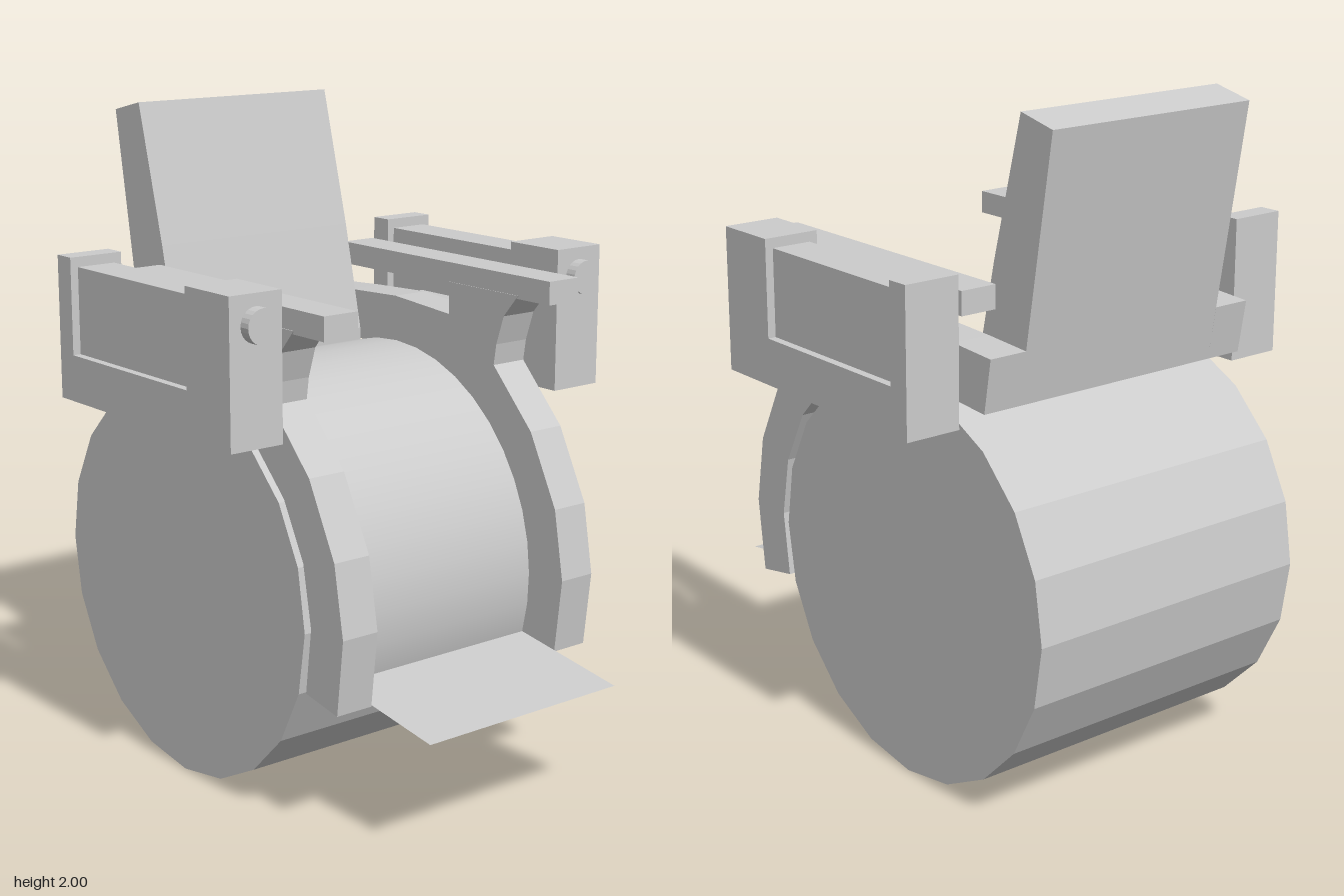
import * as THREE from 'three';

const CX = -0.2, CY = 0.605; // wheel axis
const RAD = Math.PI / 180;

export function createModel() {
  const model = new THREE.Group();
  const flat = new THREE.MeshStandardMaterial({ color: 0xcccccc, flatShading: true });
  const sheet = new THREE.MeshStandardMaterial({ color: 0xcccccc, side: THREE.DoubleSide });

  const add = (name, geometry, material = flat, parent = model) => {
    const mesh = new THREE.Mesh(geometry, material);
    mesh.name = name;
    parent.add(mesh);
    return mesh;
  };
  // box given by its minimum and maximum on each axis
  const box = (name, x0, x1, y0, y1, z0, z1, parent) => {
    const g = new THREE.BoxGeometry(x1 - x0, y1 - y0, z1 - z0);
    g.translate((x0 + x1) / 2, (y0 + y1) / 2, (z0 + z1) / 2);
    return add(name, g, flat, parent);
  };
  // side outline extruded from z0 to z1
  const slab = (name, points, z0, z1, parent) => {
    const shape = new THREE.Shape(points.map(([x, y]) => new THREE.Vector2(x, y)));
    const g = new THREE.ExtrudeGeometry(shape, { depth: z1 - z0, bevelEnabled: false });
    g.translate(0, 0, z0);
    return add(name, g, flat, parent);
  };
  const polar = (r) => (deg) => [CX + r * Math.cos(deg * RAD), CY + r * Math.sin(deg * RAD)];

  // broad drum wheel
  const wheel = new THREE.CylinderGeometry(0.605, 0.605, 0.956, 20);
  wheel.rotateX(Math.PI / 2);
  wheel.translate(CX, CY, 0);
  add('wheel', wheel);

  // curved seat sheet wrapping over the wheel
  const seat = new THREE.CylinderGeometry(0.633, 0.633, 0.71, 14, 1, true, 74 * RAD, 123 * RAD);
  seat.rotateX(Math.PI / 2);
  seat.translate(CX, CY, 0);
  add('seat', seat, sheet);

  // thin sloping foot plate
  const plate = new THREE.PlaneGeometry(0.4, 0.71);
  plate.rotateX(-Math.PI / 2);
  plate.rotateZ(-Math.atan2(0.06, 0.395));
  plate.translate(0.603, 0.401, 0);
  add('footPlate', plate, sheet);

  // tapered backrest
  slab('backrest', [[-0.56, 1.2], [-0.375, 1.2], [-0.375, 1.25], [-0.45, 1.58],
    [-0.56, 2], [-0.688, 1.97]], -0.355, 0.355);

  // fender with the bracket that carries the arm rail
  const fender = [
    ...[-16, 2, 19, 36, 54, 72, 90, 105].map(polar(0.633)),
    [-0.56, 1.2], [-0.587, 1.36], [-0.43, 1.37], [-0.2, 1.38], [0.055, 1.36],
    [0.055, 1.46], [0.36, 1.46], [0.3, 1.39], [0.27, 1.3], [0.26, 1.235],
    ...[36, 18, 2, -15].map(polar(0.775)),
  ].filter((p, i, all) => i === 0 || p[0] !== all[i - 1][0] || p[1] !== all[i - 1][1]);

  for (const [side, s] of [['front', 1], ['back', -1]]) {
    const group = new THREE.Group();
    group.name = side + 'SideAssembly';
    model.add(group);
    const range = (a, b) => (s > 0 ? [a, b] : [-b, -a]);

    slab('fender', fender, ...range(0.355, 0.477), group);
    box('armRail', -0.46, 0.49, 1.45, 1.52, ...range(0.357, 0.474), group);
    box('housingMount', -0.285, 0.03, 1.2, 1.365, ...range(0.47, 0.545), group);

    // arm housing with a recessed middle
    box('housingBase', -0.43, 0.155, 1.15, 1.29, ...range(0.515, 0.69), group);
    box('housingMiddle', -0.43, 0.155, 1.29, 1.55, ...range(0.54, 0.665), group);
    box('housingRearBlock', -0.5, -0.43, 1.15, 1.58, ...range(0.515, 0.69), group);
    box('housingFrontBlock', 0.155, 0.36, 1.15, 1.58, ...range(0.515, 0.69), group);

    // round knob on the housing front
    const knob = new THREE.CylinderGeometry(0.051, 0.051, 0.04, 24);
    knob.rotateZ(Math.PI / 2);
    knob.translate(0.375, 1.493, s * 0.602);
    add('knob', knob, flat, group);
  }
  return model;
}
